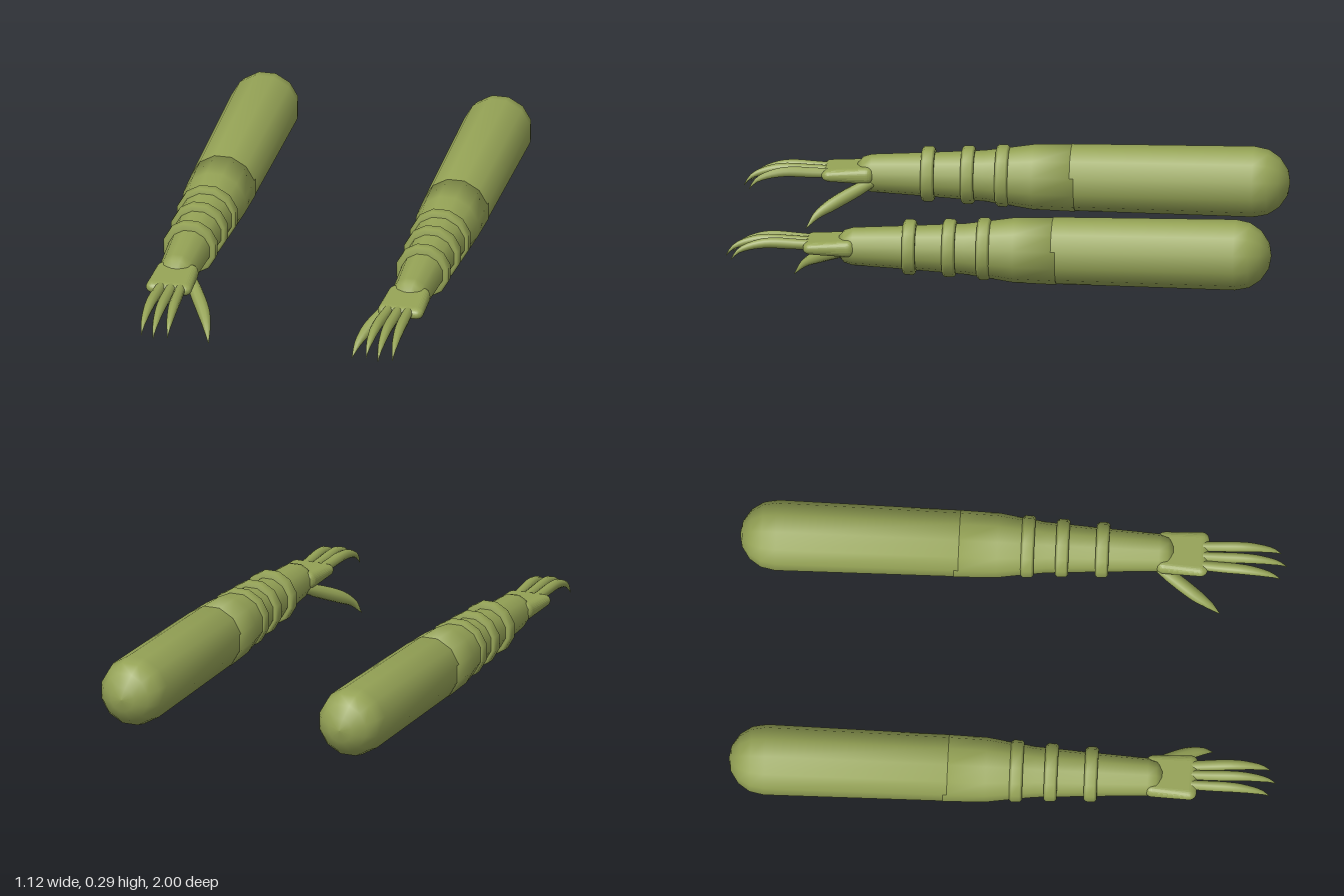
import * as THREE from 'three';
import { RoundedBoxGeometry } from 'three/addons/geometries/RoundedBoxGeometry.js';

const SIDES = 12;
const AXIS_X = 0.436, AXIS_Y = 0.17;

// Turned part along z; profile is [radius, z] pairs from back to front, flat side up
function turned(profile) {
  const k = 1 / Math.cos(Math.PI / SIDES);
  const pts = profile.map(([r, z]) => new THREE.Vector2(r * k, z));
  return new THREE.LatheGeometry(pts, SIDES, Math.PI / SIDES).rotateX(Math.PI / 2);
}

// Tube along points with a radius that follows a list of evenly spaced values
function taperedTube(points, radii, rings = 16, sides = 10) {
  const curve = new THREE.CatmullRomCurve3(points.map((p) => new THREE.Vector3(...p)));
  const geo = new THREE.TubeGeometry(curve, rings, 1, sides, false);
  const pos = geo.attributes.position;
  const v = new THREE.Vector3(), c = new THREE.Vector3();
  for (let i = 0; i <= rings; i++) {
    const t = i / rings;
    curve.getPointAt(t, c);
    const f = t * (radii.length - 1);
    const a = Math.min(Math.floor(f), radii.length - 2);
    const r = THREE.MathUtils.lerp(radii[a], radii[a + 1], f - a);
    for (let j = 0; j <= sides; j++) {
      const n = i * (sides + 1) + j;
      v.fromBufferAttribute(pos, n).sub(c).multiplyScalar(r).add(c);
      pos.setXYZ(n, v.x, v.y, v.z);
    }
  }
  return geo;
}

// Flat rounded palm, thinner and slightly wider toward the fingers
function palmGeometry() {
  const geo = new RoundedBoxGeometry(0.172, 0.06, 0.19, 4, 0.028);
  const pos = geo.attributes.position;
  for (let i = 0; i < pos.count; i++) {
    const t = pos.getZ(i) / 0.19 + 0.5;
    pos.setX(i, pos.getX(i) * (0.9 + 0.1 * t));
    pos.setY(i, pos.getY(i) * (1.1 - 0.4 * t));
  }
  geo.computeVertexNormals();
  return geo;
}

function buildArm(side, skin) {
  const arm = new THREE.Group();
  arm.name = side > 0 ? 'leftArm' : 'rightArm';
  const add = (name, geo, x = 0, y = 0, z = 0) => {
    const mesh = new THREE.Mesh(geo, skin);
    mesh.name = name;
    mesh.position.set(x * side, y, z);
    arm.add(mesh);
  };

  // Upper arm with a domed shoulder end
  add('upperArm', turned([
    [0, -1], [0.045, -0.992], [0.088, -0.962], [0.115, -0.92], [0.125, -0.868],
    [0.118, -0.2], [0, -0.19],
  ]), AXIS_X, AXIS_Y);

  // Forearm with a domed wrist end
  add('forearm', turned([
    [0, -0.215], [0.119, -0.215], [0.115, -0.06], [0.102, 0.03], [0.09, 0.12],
    [0.077, 0.34], [0.067, 0.53], [0.058, 0.562], [0.036, 0.582], [0, 0.59],
  ]), AXIS_X, AXIS_Y - 0.002);

  // Wrist bands with rounded rims
  for (const [z, r] of [[0.051, 0.11], [0.177, 0.103], [0.323, 0.098]]) {
    add('armBand', turned([
      [r - 0.04, -0.024], [r - 0.008, -0.024], [r, -0.015],
      [r, 0.015], [r - 0.008, 0.024], [r - 0.04, 0.024],
    ]), AXIS_X, AXIS_Y, z);
  }

  add('palm', palmGeometry(), 0.434, 0.174, 0.615);

  // Three clawed fingers: base x, tip x, shift in length
  for (const [x0, x1, dz] of [[0.392, 0.372, -0.022], [0.425, 0.421, 0], [0.462, 0.47, -0.022]]) {
    const at = (t) => side * (x0 + (x1 - x0) * t);
    add('finger', taperedTube([
      [at(0), 0.177, 0.66], [at(0.3), 0.18, 0.76 + dz], [at(0.65), 0.182, 0.87 + dz],
      [at(0.85), 0.165, 0.94 + dz], [at(0.95), 0.145, 0.975 + dz], [at(1), 0.115, 0.997 + dz],
    ], [0.018, 0.019, 0.02, 0.018, 0.012, 0.0005]));
  }

  // Thumb reaching inward and down, ending in a claw
  add('thumb', taperedTube([
    [0.39, 0.148, 0.525], [0.35, 0.118, 0.595], [0.308, 0.083, 0.668],
    [0.284, 0.05, 0.72], [0.268, 0.001, 0.76],
  ].map(([x, y, z]) => [x * side, y, z]), [0.018, 0.024, 0.025, 0.023, 0.014, 0.0005]));

  return arm;
}

export function createModel() {
  const skin = new THREE.MeshStandardMaterial({ color: 0x95a356 });
  skin.name = 'oliveSkin';
  const model = new THREE.Group();
  model.name = 'clawedArms';
  for (const side of [1, -1]) model.add(buildArm(side, skin));
  return model;
}
